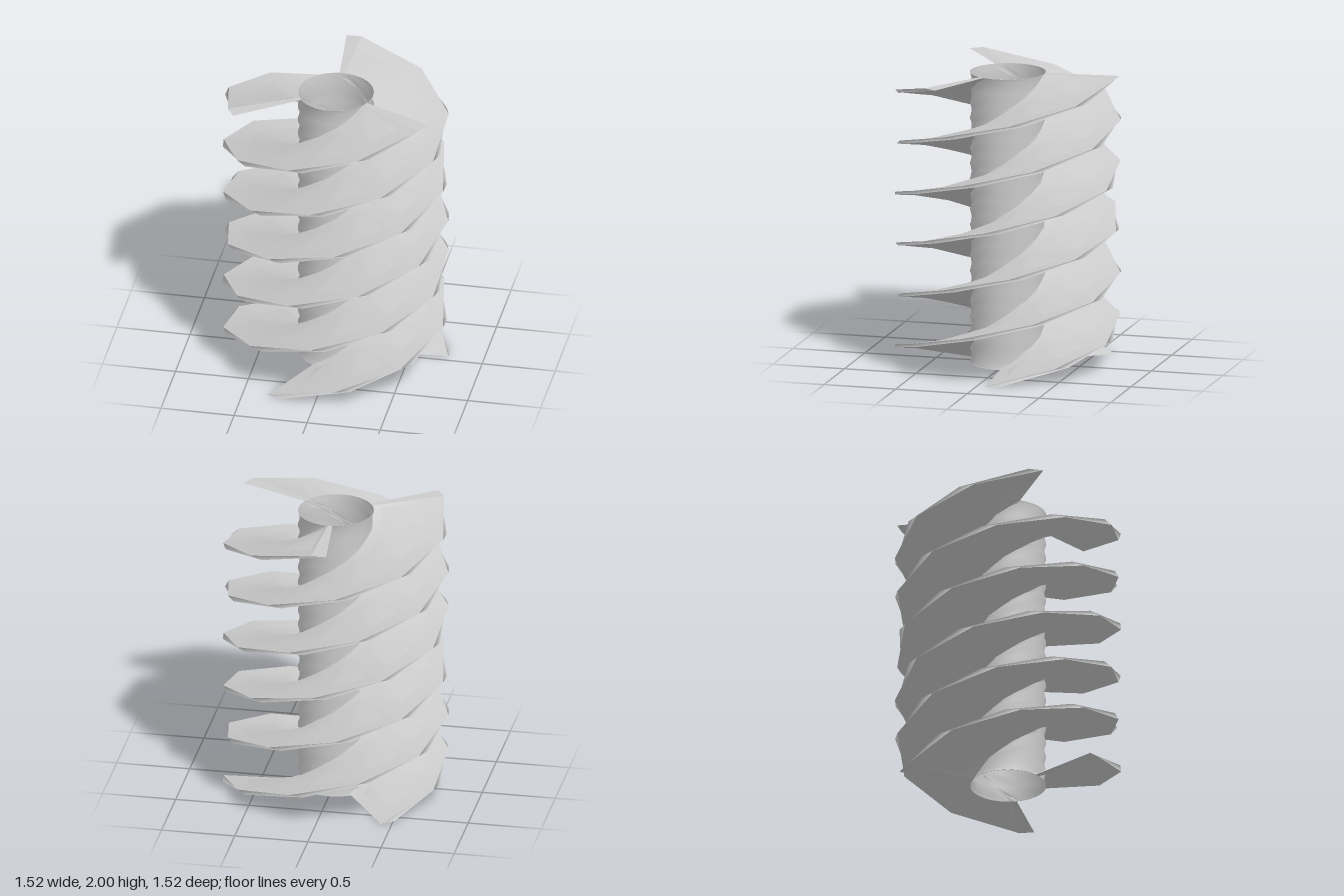
import * as THREE from 'three';

const HEIGHT = 2, SLICES = 19, STEP = 36;      // coarse twisted layers, degrees per layer
const TIP = 0.76, ROOT = 0.257, BORE = 0.254;  // radii
const STARTS = 3, TOP_ANGLE = 62, HALF = 3.8;  // three threads, angular half width
const CORE_SEGMENTS = 14;

const rad = THREE.MathUtils.degToRad;
const material = new THREE.MeshStandardMaterial({ color: 0xcccccc, side: THREE.DoubleSide });

// Position of a polar point [radius, degrees from +z towards +x] on a layer
const place = ([r, a], s) => {
  const t = rad(a + TOP_ANGLE - (SLICES - s) * STEP);
  return [r * Math.sin(t), (HEIGHT * s) / SLICES, r * Math.cos(t)];
};

// Sweep a polar line upwards with twist into one smooth surface
function twist(line) {
  const pos = [], index = [], n = line.length;
  for (let s = 0; s <= SLICES; s++) {
    line.forEach((p, i) => {
      pos.push(...place(p, s));
      if (s === SLICES || i === n - 1) return;
      const a = s * n + i;
      index.push(a, a + 1, a + 1 + n, a, a + 1 + n, a + n);
    });
  }
  const geo = new THREE.BufferGeometry();
  geo.setAttribute('position', new THREE.Float32BufferAttribute(pos, 3));
  geo.setIndex(index);
  geo.computeVertexNormals();
  return geo;
}

function arc(r, from, to, n) {
  return Array.from({ length: n + 1 }, (_, i) => [r, from + ((to - from) * i) / n]);
}

// Flat end face closing the section at the top or the bottom
function cap(outline, bore, s) {
  const sign = s === 0 ? 1 : -1;
  const flat = (p) => {
    const [x, , z] = place(p, s);
    return new THREE.Vector2(x, sign * z);
  };
  const shape = new THREE.Shape(outline.map(flat));
  shape.holes.push(new THREE.Path(bore.slice(0, -1).map(flat)));
  const geo = new THREE.ShapeGeometry(shape);
  geo.rotateX((sign * Math.PI) / 2);
  geo.translate(0, (HEIGHT * s) / SLICES, 0);
  return geo;
}

export function createModel() {
  const group = new THREE.Group();
  group.name = 'tripleStartScrew';
  const add = (name, geo) => {
    const mesh = new THREE.Mesh(geo, material);
    mesh.name = name;
    group.add(mesh);
  };

  // Helical threads, each with two flanks and a narrow edge, and the core wall between them
  const section = [];
  const pitch = 360 / STARTS;
  for (let k = 0; k < STARTS; k++) {
    const c = k * pitch;
    const [a, b, d, e] = [[ROOT, c - HALF], [TIP, c - HALF], [TIP, c + HALF], [ROOT, c + HALF]];
    const wall = arc(ROOT, c + HALF, c + pitch - HALF, CORE_SEGMENTS);
    add(`threadTop${k + 1}`, twist([a, b]));
    add(`threadEdge${k + 1}`, twist([b, d]));
    add(`threadUnderside${k + 1}`, twist([d, e]));
    add(`coreWall${k + 1}`, twist(wall));
    section.push(a, b, d, ...wall.slice(0, -1));
  }

  // Through bore, wound inwards
  const bore = arc(BORE, 360, 0, 48);
  add('bore', twist(bore));

  // End faces
  add('topFace', cap(section, bore, SLICES));
  add('bottomFace', cap(section, bore, 0));
  return group;
}
